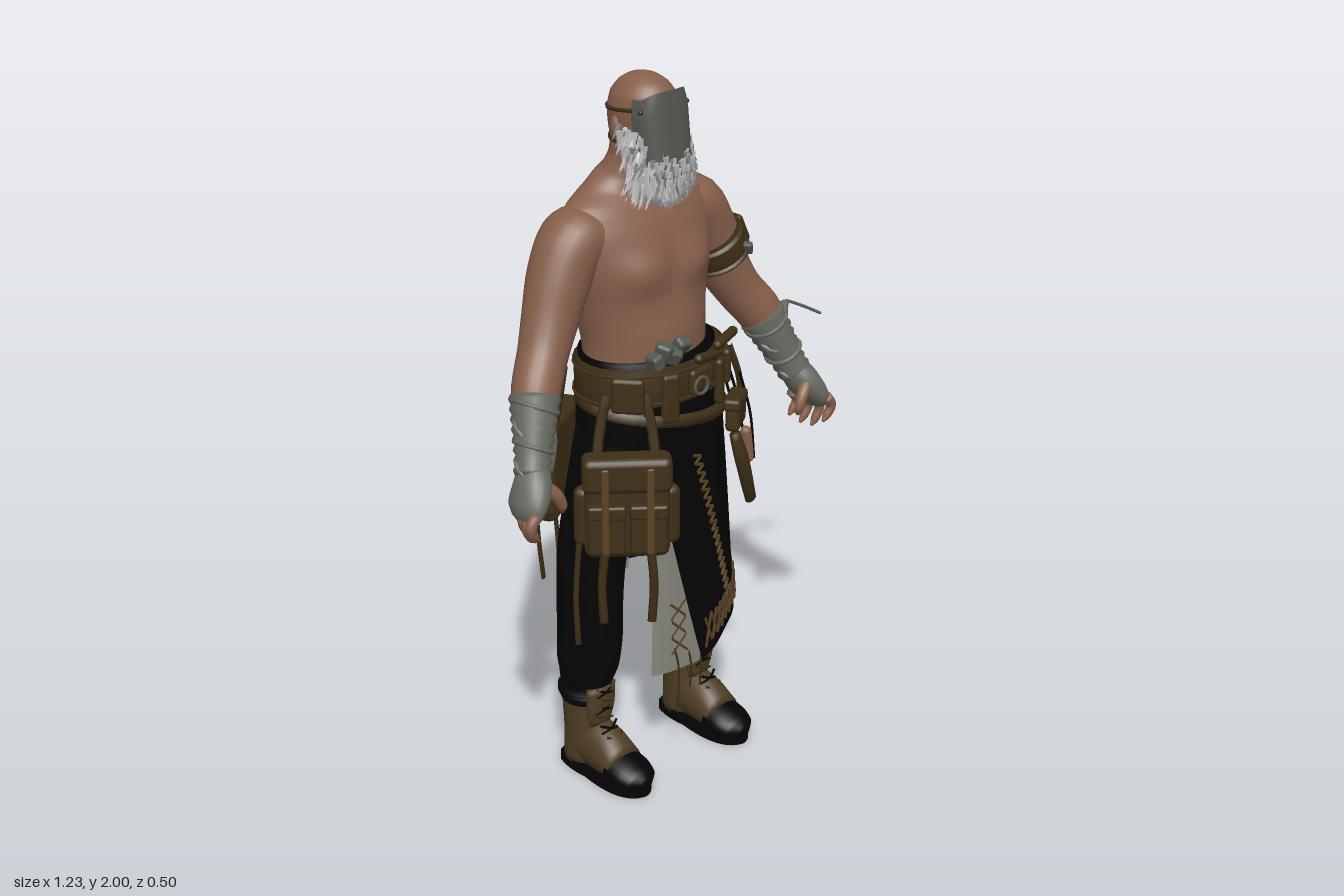
import * as THREE from 'three';
import { mergeGeometries } from 'three/addons/utils/BufferGeometryUtils.js';
import { RoundedBoxGeometry } from 'three/addons/geometries/RoundedBoxGeometry.js';

const C = -0.035; // body centre line
const V = (x, y, z) => new THREE.Vector3(x, y, z);
const Y = V(0, 1, 0), Z = V(0, 0, 1), lerp = THREE.MathUtils.lerp;
const paint = (name, color, side = THREE.FrontSide) => {
  const m = new THREE.MeshStandardMaterial({ color, side });
  m.name = name;
  return m;
};

// Skin over elliptical sections [x, y, z, radiusU, radiusV] along a path, capped at both ends
function sweep(st, { ref = Z, n = 24, steps = 4, smooth = true } = {}) {
  let c = st.map(s => V(s[0], s[1], s[2])), r = st.map(s => V(s[3], s[4], 0));
  if (smooth) {
    const k = (st.length - 1) * steps;
    c = new THREE.CatmullRomCurve3(c).getPoints(k);
    r = new THREE.CatmullRomCurve3(r).getPoints(k);
  }
  const pos = [], idx = [], m = c.length;
  c.forEach((p, i) => {
    const t = c[Math.min(i + 1, m - 1)].clone().sub(c[Math.max(i - 1, 0)]).normalize();
    const u = t.clone().cross(ref).normalize(), v = u.clone().cross(t);
    for (let j = 0; j < n; j++) {
      const a = j / n * Math.PI * 2;
      const q = p.clone().addScaledVector(u, Math.cos(a) * r[i].x).addScaledVector(v, Math.sin(a) * r[i].y);
      pos.push(q.x, q.y, q.z);
      const b = i * n + j, d = i * n + (j + 1) % n;
      if (i < m - 1) idx.push(b, b + n, d, d, b + n, d + n);
      else idx.push(m * n + 1, d, b);
      if (i === 0) idx.push(m * n, b, d);
    }
  });
  pos.push(...c[0].toArray(), ...c[m - 1].toArray());
  return finish(pos, idx);
}
function finish(pos, idx) {
  const g = new THREE.BufferGeometry();
  g.setAttribute('position', new THREE.Float32BufferAttribute(pos, 3));
  g.setIndex(idx);
  g.computeVertexNormals();
  return g;
}
// Open surface from a rule f(u, v)
function sheet(nu, nv, f) {
  const pos = [], idx = [];
  for (let i = 0; i <= nv; i++) for (let j = 0; j <= nu; j++) {
    pos.push(...f(j / nu, i / nv).toArray());
    const a = i * (nu + 1) + j, b = a + nu + 1;
    if (i < nv && j < nu) idx.push(a, b, a + 1, a + 1, b, b + 1);
  }
  return finish(pos, idx);
}
const cord = (pts, r = 0.004, round = true) => new THREE.TubeGeometry(
  new THREE.CatmullRomCurve3(pts, false, 'catmullrom', round ? 0.5 : 0), pts.length * (round ? 5 : 4), r, 4);
const strap = (pts, w = 0.012, ref = Z) => sweep(pts.map(p => [...p, w, 0.005]), { ref, n: 6, steps: 3 });
const hoop = (x, z, y0, y1, rx, rz) => sweep([[x, y0, z, rx - 0.02, rz - 0.02], [x, y0 + 0.005, z, rx, rz],
  [x, y1 - 0.005, z, rx, rz], [x, y1, z, rx - 0.02, rz - 0.02]], { smooth: false, n: 36 });
const box = (w, h, d, r = 0.012) => new RoundedBoxGeometry(w, h, d, 2, r);

// Wrapped skirt at angle a (0 = front, towards +x) and height fraction v
function skirtAt(a, v, k = 1, drop = 0) {
  const f = Math.sqrt(v), fold = k * (1 + 0.015 * v * Math.sin(a * 9));
  const hem = 0.33 + 0.085 * THREE.MathUtils.clamp(a, 0, 2) - drop;
  return V(lerp(-0.03, -0.005, v) + lerp(0.205, 0.262, f) * fold * Math.sin(a), lerp(1.22, hem, v),
    0.01 + lerp(0.155, 0.18, v) * fold * Math.cos(a));
}

export function createModel() {
  const root = new THREE.Group();
  root.name = 'bareChestedCraftsman';
  const skin = paint('skin', 0x865f4a), black = paint('blackCloth', 0x040404, THREE.DoubleSide);
  const leather = paint('darkLeather', 0x3f2f17), tan = paint('bootLeather', 0x4f3e23);
  const steel = paint('maskGrey', 0x545750, THREE.DoubleSide), wrap = paint('wrapCloth', 0x676a62);
  const white = paint('beardWhite', 0xc8c8c8), grey = paint('beardGrey', 0x8c8c8e);
  const pale = paint('paleCloth', 0x85847a, THREE.DoubleSide), trim = paint('stitching', 0x5a4222);
  const add = (name, geo, mat, p = root, at = [0, 0, 0], rot = [0, 0, 0]) => {
    const m = new THREE.Mesh(geo, mat);
    m.name = name;
    m.position.set(...at);
    m.rotation.set(...rot);
    p.add(m);
    return m;
  };

  // Torso with chest, belly and spine modelling
  const torso = sweep([[C, 1.15, 0, 0.19, 0.135], [C, 1.28, 0, 0.187, 0.14], [C, 1.4, -0.015, 0.207, 0.143],
    [C, 1.5, -0.022, 0.232, 0.138], [C, 1.58, -0.032, 0.25, 0.125], [C, 1.63, -0.04, 0.246, 0.108],
    [C, 1.672, -0.045, 0.215, 0.092], [C, 1.705, -0.042, 0.152, 0.082], [C, 1.74, -0.03, 0.1, 0.076],
    [C, 1.78, -0.02, 0.08, 0.075], [C, 1.83, -0.015, 0.075, 0.075]], { n: 56, steps: 6 });
  const P = torso.attributes.position, bump = (d, w) => Math.exp(-d * d / (w * w));
  for (let i = 0; i < P.count; i++) {
    const x = P.getX(i) - C, y = P.getY(i), z = P.getZ(i);
    if (z > 0) P.setZ(i, z + 0.022 * bump(Math.abs(x) - 0.095, 0.07) * bump(y - 1.5, 0.055)
      + 0.008 * bump(x, 0.1) * bump(y - 1.31, 0.07) - 0.006 * bump(x, 0.015) * bump(y - 1.5, 0.08));
    else if (z < -0.06) P.setZ(i, z + 0.012 * bump(x, 0.025) * bump(y - 1.42, 0.18));
  }
  torso.computeVertexNormals();
  add('torso', torso, skin);

  // Head, ears, mask and its straps
  add('head', sweep([[C, 1.74, 0.03, 0.045, 0.05], [C, 1.78, 0.018, 0.068, 0.082], [C, 1.84, 0.003, 0.08, 0.1],
    [C, 1.9, 0, 0.086, 0.103], [C, 1.945, 0, 0.079, 0.093], [C, 1.975, 0, 0.058, 0.07],
    [C, 1.993, 0, 0.031, 0.038], [C, 2, 0, 0.002, 0.002]], { n: 32 }), skin);
  for (const s of [-1, 1]) {
    add('ear', new THREE.SphereGeometry(1, 12, 8), skin, root, [C + s * 0.09, 1.865, -0.012], [0, s * 0.4, 0]).scale.set(0.012, 0.033, 0.02);
    for (const y of [1.79, 1.92]) add('maskRivet', new THREE.SphereGeometry(0.007, 8, 6), leather, root, [C + s * 0.082, y, 0.075]);
  }
  add('faceMask', sheet(24, 8, (u, v) => {
    const a = (u - 0.5) * Math.PI, s = Math.sin(a), w = lerp(0.085, 0.08, v) - 0.012 * Math.max(0, 1 - v * 6);
    return V(C + w * Math.sign(s) * Math.abs(s) ** 0.75, lerp(1.97 - 0.025 * s ** 4, 1.745 + 0.012 * s * s, v),
      lerp(0.035, 0.062, v) + 0.07 * Math.max(Math.cos(a), 0) ** 0.65);
  }), steel);
  add('upperHeadStrap', hoop(0, 0, -0.009, 0.009, 0.09, 0.107), leather, root, [C, 1.913, 0], [-0.1, 0, 0]);
  add('lowerHeadStrap', hoop(0, 0, -0.009, 0.009, 0.083, 0.1), leather, root, [C, 1.825, 0]);

  // Beard: soft core covered in pointed locks
  add('beardCore', sweep([[C, 1.66, 0.09, 0.025, 0.02], [C, 1.695, 0.082, 0.075, 0.045], [C, 1.75, 0.07, 0.098, 0.055],
    [C, 1.8, 0.05, 0.098, 0.048], [C, 1.87, 0.015, 0.088, 0.02]]), white);
  let seed = 7;
  const rnd = () => (seed = (seed * 16807) % 2147483647) / 2147483647;
  const locks = [[], []];
  for (let i = 0; i < 300; i++) {
    const a = (rnd() - 0.5) * 3.4, y = 1.675 + rnd() * (0.09 + 0.11 * Math.min(1, Math.abs(a) / 1.4));
    const R = Math.min(0.107, 0.062 + (y - 1.675) * 1.1);
    const g = new THREE.ConeGeometry(0.011, 0.05, 4).rotateX(Math.PI);
    const d = V(Math.sin(a) * 0.5 + (rnd() - 0.5) * 0.8, -1, Math.cos(a) * 0.25 + (rnd() - 0.5) * 0.3).normalize();
    g.applyQuaternion(new THREE.Quaternion().setFromUnitVectors(V(0, -1, 0), d));
    g.translate(C + Math.sin(a) * R, y, 0.05 + Math.cos(a) * 0.075 * R / 0.1 - Math.max(0, y - 1.77) * 0.35);
    locks[i % 5 ? 0 : 1].push(g);
  }
  add('whiteBeardLocks', mergeGeometries(locks[0]), white);
  add('greyBeardLocks', mergeGeometries(locks[1]), grey);

  // Arms, wrapped forearms, hands, legs and boots
  for (const s of [-1, 1]) {
    const side = s > 0 ? 'left' : 'right', X = d => C + s * d;
    const row = (list, o) => sweep(list.map(([d, ...q]) => [X(d), ...q]), o);
    add(side + 'Arm', row([[0.1, 1.615, -0.04, 0.04, 0.07], [0.16, 1.605, -0.04, 0.07, 0.085], [0.215, 1.583, -0.04, 0.088, 0.092],
      [0.265, 1.505, -0.035, 0.087, 0.086], [0.315, 1.4, -0.02, 0.077, 0.074], [0.36, 1.32, 0, 0.067, 0.067],
      [0.41, 1.25, 0.03, 0.066, 0.064], [0.445, 1.18, 0.06, 0.053, 0.053], [0.475, 1.1, 0.09, 0.042, 0.042], [0.5, 1.04, 0.11, 0.04, 0.042]]), skin);
    const bands = [];
    for (let i = 0; i <= 16; i++) {
      const t = i / 16, r = lerp(0.066, 0.046, Math.min(1, t * 1.3)) + (i % 2 ? 0.004 : -0.002);
      bands.push([lerp(0.42, 0.495, t), lerp(1.235, 1.055, t), lerp(0.035, 0.105, t), r, r]);
    }
    add(side + 'ForearmWrap', row(bands, { smooth: false }), wrap);
    for (let i = 0; i < 4; i++) add(side + 'WrapBand', new THREE.TorusGeometry(0.061 - i * 0.005, 0.007, 6, 20), wrap, root,
      [X(0.43 + i * 0.019), 1.21 - i * 0.045, 0.046 + i * 0.017], [Math.PI / 2 + (i % 2 ? 0.6 : -0.1), s * (i % 2 ? 0.1 : 0.5), 0]);
    add(side + 'Palm', row([[0.487, 1.07, 0.1, 0.04, 0.044], [0.51, 1.03, 0.12, 0.044, 0.058], [0.535, 0.99, 0.13, 0.036, 0.062],
      [0.543, 0.96, 0.13, 0.022, 0.048]]), wrap);
    for (let i = 0; i < 4; i++) {
      const z = 0.177 - i * 0.031, d = 0.558 - i * 0.014, l = [0.07, 0.088, 0.084, 0.066][i];
      add(side + 'Finger', row([[d - 0.01, 0.985, z, 0.017, 0.017], [d + 0.01, 0.985 - l * 0.45, z + 0.003, 0.015, 0.015],
        [d - 0.004, 0.985 - l * 0.85, z, 0.013, 0.013], [d - 0.02, 0.98 - l, z, 0.004, 0.004]], { n: 10 }), skin);
    }
    add(side + 'Thumb', row([[0.5, 1.04, 0.145, 0.022, 0.022], [0.465, 1.01, 0.162, 0.018, 0.018], [0.448, 0.975, 0.165, 0.014, 0.014],
      [0.445, 0.955, 0.162, 0.004, 0.004]], { n: 10 }), skin);
    add(side + 'TrouserLeg', row([[0.196, 0.215, -0.035, 0.062, 0.068], [0.196, 0.23, -0.035, 0.07, 0.078], [0.194, 0.28, -0.035, 0.07, 0.078],
      [0.185, 0.335, -0.035, 0.085, 0.092], [0.18, 0.42, -0.032, 0.087, 0.098], [0.18, 0.55, -0.03, 0.087, 0.1],
      [0.175, 0.7, -0.02, 0.09, 0.105], [0.135, 0.85, -0.005, 0.105, 0.125], [0.09, 1, 0, 0.11, 0.14]]), black);
    const B = 0.197;
    add(side + 'BootShaft', row([[B, 0.025, -0.036, 0.06, 0.066], [B, 0.12, -0.03, 0.061, 0.07], [B, 0.2, -0.032, 0.063, 0.072],
      [B, 0.235, -0.033, 0.065, 0.074]]), tan);
    add(side + 'BootTongue', row([[B, 0.16, 0.02, 0.04, 0.02], [B, 0.22, 0.028, 0.05, 0.022], [B, 0.28, 0.03, 0.052, 0.02]]), tan);
    add(side + 'BootFoot', row([[B, 0.075, -0.06, 0.055, 0.055], [B, 0.09, 0, 0.061, 0.08], [B, 0.08, 0.06, 0.062, 0.074],
      [B, 0.062, 0.12, 0.063, 0.05]], { ref: Y }), tan);
    add(side + 'ToeCap', row([[B, 0.055, 0.105, 0.066, 0.05], [B, 0.048, 0.15, 0.067, 0.044], [B, 0.04, 0.19, 0.054, 0.036],
      [B, 0.035, 0.215, 0.02, 0.018]], { ref: Y }), black);
    const sole = new THREE.Shape().moveTo(-0.045, 0.095).quadraticCurveTo(-0.065, 0.04, -0.058, -0.02)
      .quadraticCurveTo(-0.085, -0.2, 0, -0.215).quadraticCurveTo(0.085, -0.2, 0.058, -0.02)
      .quadraticCurveTo(0.065, 0.04, 0.045, 0.095).quadraticCurveTo(0, 0.115, -0.045, 0.095);
    add(side + 'BootSole', new THREE.ExtrudeGeometry(sole, { depth: 0.032, bevelEnabled: false }).rotateX(-Math.PI / 2), black, root, [X(B), 0, 0]);
    for (let i = 0; i < 6; i++) {
      const y = 0.12 + i * 0.027, z = [0.095, 0.072, 0.052, 0.05, 0.052, 0.053][i];
      for (const k of [-1, 1]) add(side + 'Lace', cord([V(X(B) - 0.03 * k, y, z - 0.008), V(X(B), y + 0.012, z), V(X(B) + 0.03 * k, y + 0.024, z - 0.012)]), i % 2 ? black : leather);
    }
    add(side + 'CuffStrap', hoop(X(B), -0.034, 0.25, 0.265, 0.075, 0.083), black);
  }

  // Leather arm band
  add('armBand', sweep([[0.238, 1.49, -0.035, 0.075, 0.075], [0.24, 1.486, -0.035, 0.094, 0.092], [0.277, 1.414, -0.025, 0.087, 0.086],
    [0.279, 1.41, -0.025, 0.07, 0.07]], { smooth: false }), leather);
  for (const t of [0.12, 0.88]) add('armBandRim', sweep([0, 1, 2].map(i => [lerp(0.24, 0.277, t) + (i - 1) * 0.005, lerp(1.486, 1.414, t) - (i - 1) * 0.01,
    -0.03, [0.085, 0.097, 0.085][i], [0.085, 0.097, 0.085][i]])), leather);
  add('armBandPouch', box(0.03, 0.09, 0.05), leather, root, [0.345, 1.483, -0.02], [0, 0, 0.45]);
  add('armBandBuckle', box(0.02, 0.035, 0.03, 0.005), steel, root, [0.31, 1.45, 0.05], [0, 0.6, 0.45]);

  // Hips, skirt, pale under panels
  add('hips', sweep([[C, 0.78, 0, 0.12, 0.11], [C, 0.88, 0, 0.185, 0.14], [C, 1.05, 0, 0.2, 0.148], [C, 1.25, 0, 0.198, 0.15]]), black);
  const edge = (u, v) => lerp(lerp(-0.75, 0.05, v), lerp(4.1, 3.75, v), u);
  add('skirt', sheet(90, 16, (u, v) => skirtAt(edge(u, v), v)), black);
  add('frontUnderPanel', sheet(10, 10, (u, v) => skirtAt(lerp(lerp(-0.5, -0.62, v), 0.2, u), lerp(0.2, 1, v), 0.97)), pale);
  add('backUnderPanel', sheet(10, 8, (u, v) => skirtAt(lerp(2.9, 3.75, u), lerp(0.4, 1, v), 0.96, 0.025)), pale);

  // Stitched zigzags along hem, front, side and under panel
  const zigzag = (name, n, k, a0, a1, v0, v1, wide, scale, r) => {
    const pts = [];
    for (let i = 0; i <= n; i++) pts.push(skirtAt(lerp(a0, a1, i / n) + ((i + k) % 2 ? wide : -wide), lerp(v0, v1, i / n), scale));
    add(name, cord(pts, r, false), trim);
  };
  for (const k of [0, 1]) {
    const hem = [];
    for (let i = 0; i <= 34; i++) hem.push(skirtAt(lerp(0.1, 3.7, i / 34), (i + k) % 2 ? 0.855 : 0.965, 1.018));
    add('hemStitching', cord(hem, 0.005, false), trim);
    zigzag('panelStitching', 3, k, -0.25, -0.25, 0.76, 0.94, 0.11, 0.985, 0.0035);
  }
  zigzag('frontStitching', 36, 0, 0.07, 0.64, 0.28, 0.88, 0.065, 1.015, 0.005);
  zigzag('sideStitching', 26, 0, 1.45, 1.85, 0.4, 0.85, 0.06, 1.015, 0.004);
  for (const [x, y] of [[-0.083, 0.2], [-0.035, 0.26], [0.005, 0.25]]) add('hangingThread', cord([V(x, 0.4, 0.172), V(x + 0.004, 0.33, 0.186), V(x, y, 0.185)]), leather);

  // Belts and the small items on them
  add('waistBand', hoop(-0.025, 0, 1.2, 1.262, 0.206, 0.16), black);
  add('mainBelt', hoop(-0.02, 0.005, 1.135, 1.245, 0.228, 0.17), leather);
  for (const y of [1.142, 1.222]) add('beltRim', hoop(-0.02, 0.005, y, y + 0.014, 0.233, 0.175), leather);
  add('slantedBelt', hoop(0, 0, -0.018, 0.018, 0.236, 0.175), leather, root, [-0.015, 1.09, 0.01], [0.08, 0, -0.16]);
  for (const [a, w, h, y] of [[-0.9, 0.09, 0.1, 1.18], [-0.35, 0.05, 0.14, 1.16], [0.1, 0.09, 0.07, 1.19], [0.55, 0.04, 0.13, 1.15],
    [0.95, 0.08, 0.1, 1.17], [1.7, 0.05, 0.12, 1.16], [2.6, 0.05, 0.13, 1.17], [3.6, 0.08, 0.1, 1.18]])
    add('beltPouch', box(w, h, 0.025), leather, root, [-0.02 + 0.232 * Math.sin(a), y, 0.005 + 0.174 * Math.cos(a)], [0, a, 0]);
  for (const [x, y, t] of [[0.02, 1.25, -0.2], [0.13, 1.262, 0.1]]) add('tuckedRoll', new THREE.CapsuleGeometry(0.014, 0.09, 4, 10), leather, root, [x, y, 0.19 - x * 0.35], [0, 0.3, Math.PI / 2 + t]);
  add('beltBuckle', new THREE.TorusGeometry(0.024, 0.005, 6, 16), steel, root, [-0.01, 1.18, 0.195]);
  // Small metal tool resting on the belt
  for (let i = 0; i < 4; i++) add('beltTool', box(0.036, 0.045, 0.045, 0.01), steel, root,
    [-0.155 + i * 0.032, 1.28 + (i % 2) * 0.022, 0.168], [0.3 * i, 0.5 * i, 0.3 - 0.2 * i]);
  add('toolPouch', box(0.13, 0.085, 0.04, 0.015), leather, root, [0.155, 1.045, 0.165], [0, 0.6, -0.1]);
  add('toolPouchFlap', box(0.135, 0.035, 0.05), leather, root, [0.155, 1.08, 0.163], [0, 0.6, -0.1]);
  add('toolHandle', sweep([[0.12, 1.0, 0.195, 0.016, 0.014], [0.14, 0.92, 0.205, 0.022, 0.016], [0.175, 0.83, 0.195, 0.02, 0.015], [0.205, 0.77, 0.18, 0.018, 0.013]]), leather);
  add('copperGrip', new THREE.CapsuleGeometry(0.016, 0.08, 4, 10), skin, root, [0.165, 0.955, 0.2], [0, 0, 0.15]);
  [[0.3, 0.75, 0.08], [0.28, 0.85, 0.12], [0.265, 0.9, 0.05]].forEach(([x, y, z]) =>
    add('sideCord', cord([V(0.215, 1.13, z), V(0.25, 1.0, z + 0.01), V(x, y, z)], 0.005), black));
  for (const s of [-1, 1]) add('sidePeg', cord([V(0.2, 1.21, s * 0.09), V(0.235, 1.1, s * 0.1), V(0.245, 0.98, s * 0.09)], 0.012), leather);

  // Satchels with flap, pockets and dangling straps
  function satchel(name, x, y, z, turn) {
    const g = new THREE.Group();
    g.name = name;
    g.position.set(x, y, z);
    g.rotation.y = turn;
    add('bagBody', box(0.23, 0.29, 0.065, 0.025), leather, g);
    add('bagFlap', box(0.24, 0.1, 0.08, 0.02), leather, g, [0, 0.1, 0.004]);
    for (const s of [-1, 1]) {
      add('pocket', box(0.1, 0.13, 0.03), leather, g, [s * 0.056, -0.06, 0.036]);
      add('pocketFlap', box(0.104, 0.04, 0.036, 0.008), leather, g, [s * 0.056, 0, 0.036]);
      add('bagStrap', box(0.02, 0.25, 0.01, 0.004), trim, g, [s * 0.06, 0.005, 0.052]);
      add('hanger', strap([[s * 0.08, 0.1, -0.02], [s * 0.07, 0.2, -0.035], [s * 0.05, 0.3, -0.045]], 0.014), leather, g);
      add('danglingStrap', strap([[s * 0.06, -0.1, 0.045], [s * 0.07, -0.22, 0.035], [s * 0.065, -0.34, 0.025]], 0.012), leather, g);
      add('endPocket', box(0.045, 0.17, 0.05, 0.02), leather, g, [s * 0.118, -0.03, -0.012], [0, s * 0.4, 0]);
    }
    root.add(g);
    return g;
  }
  const front = satchel('frontSatchel', -0.23, 0.88, 0.138, -0.7);
  add('longStrap', strap([[-0.13, -0.1, 0.02], [-0.14, -0.26, 0.02], [-0.135, -0.41, 0.015]], 0.008), leather, front);
  const back = satchel('backSatchel', -0.21, 0.91, -0.16, Math.PI + 0.5);
  add('clothPatch', box(0.07, 0.09, 0.012, 0.005), steel, back, [0, -0.06, 0.056]);

  // Loose ends of the wrist wraps
  add('leftRibbon', strap([[0.43, 1.235, 0.08], [0.47, 1.25, 0.05], [0.54, 1.22, 0.045], [0.612, 1.18, 0.052]], 0.013, Y), wrap);
  add('rightRibbon', strap([[-0.45, 1.2, 0.09], [-0.448, 1.12, 0.1], [-0.465, 1.04, 0.1]], 0.01), wrap);
  return root;
}
